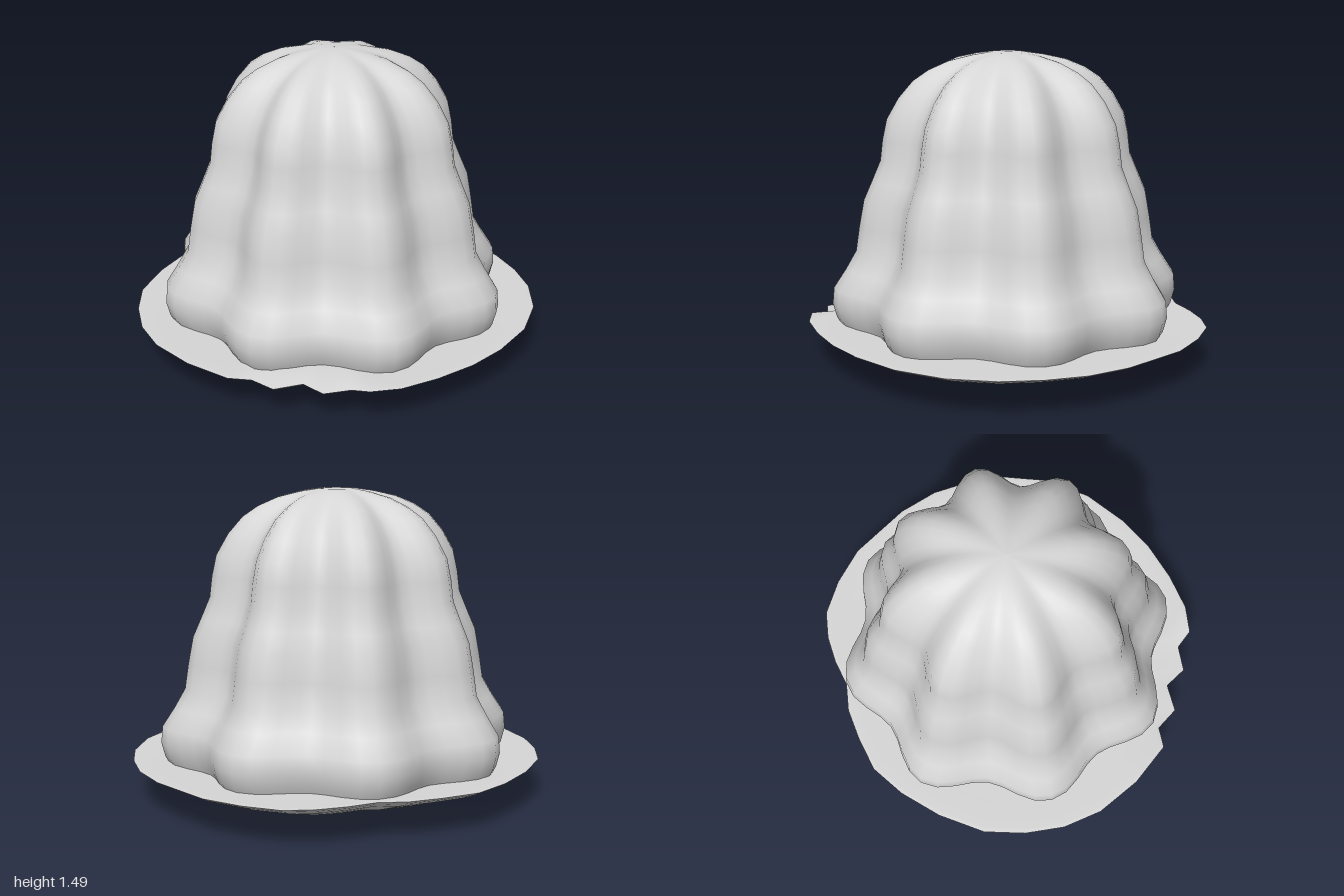
import * as THREE from 'three';

// Skin of closed rings, listed bottom to top along the outside of the surface
function ringSurface(rows, segments, point) {
  const pos = [], index = [];
  rows.forEach((row) => {
    for (let i = 0; i < segments; i++) pos.push(...point(row, i));
  });
  for (let j = 0; j < rows.length - 1; j++) {
    for (let i = 0; i < segments; i++) {
      const k = (i + 1) % segments;
      const a = j * segments + i, b = j * segments + k;
      const c = a + segments, d = b + segments;
      index.push(a, c, d, a, d, b);
    }
  }
  const g = new THREE.BufferGeometry();
  g.setAttribute('position', new THREE.Float32BufferAttribute(pos, 3));
  g.setIndex(index);
  g.computeVertexNormals();
  return g;
}

export function createModel() {
  const group = new THREE.Group();
  const grey = new THREE.MeshStandardMaterial({ color: 0xd6d6d6 });
  grey.name = 'pale grey';
  grey.side = THREE.DoubleSide;

  const add = (name, geometry) => {
    const mesh = new THREE.Mesh(geometry, grey);
    mesh.name = name;
    group.add(mesh);
  };

  // Moulded jelly: height, radius on the lobes, radius in the grooves
  const profile = [
    [0.16, 0.82, 0.71], [0.21, 0.85, 0.735], [0.28, 0.868, 0.755], [0.36, 0.86, 0.75],
    [0.45, 0.80, 0.69], [0.54, 0.748, 0.635], [0.66, 0.73, 0.615], [0.79, 0.705, 0.595],
    [0.88, 0.665, 0.555], [0.98, 0.622, 0.52], [1.08, 0.61, 0.505], [1.18, 0.588, 0.48],
    [1.28, 0.53, 0.43], [1.36, 0.46, 0.365], [1.41, 0.385, 0.30], [1.45, 0.29, 0.23],
    [1.475, 0.18, 0.155], [1.488, 0.09, 0.085], [1.492, 0.001, 0.001],
  ];
  const lobes = 8, segments = 64;
  add('jelly', ringSurface(profile, segments, ([y, ridge, groove], i) => {
    const a = (i / segments) * Math.PI * 2;
    const t = 0.5 + 0.5 * Math.cos(lobes * a);
    const r = groove + (ridge - groove) * t;
    return [r * Math.cos(a), y, r * Math.sin(a) - 0.035];
  }));

  // Plate outline (x, z), with a chipped edge at the front right
  const outline = [
    [1, 0], [0.98, 0.2], [0.9, 0.42], [0.75, 0.62], [0.55, 0.77], [0.37, 0.86], [0.17, 0.92],
    [-0.02, 0.95], [-0.16, 0.93], [-0.22, 0.85], [-0.35, 0.84], [-0.41, 0.73], [-0.55, 0.73],
    [-0.62, 0.62], [-0.73, 0.61], [-0.87, 0.42], [-0.97, 0.2], [-1, 0], [-0.98, -0.2],
    [-0.92, -0.4], [-0.78, -0.6], [-0.62, -0.76], [-0.46, -0.87], [-0.28, -0.91],
    [-0.12, -0.93], [0.02, -0.91], [0.16, -0.94], [0.3, -0.95], [0.44, -0.93], [0.6, -0.83],
    [0.75, -0.69], [0.92, -0.4], [0.985, -0.2],
  ];
  const chipped = (i) => i >= 9 && i <= 13;
  const platePoint = ([scale, y], i) => {
    const [x, z] = outline[i];
    const drop = chipped(i) && scale > 0.9 ? 0.025 : 0;
    return [x * scale, y - drop, z * scale];
  };
  add('plateUnderside', ringSurface(
    [[0.001, 0], [0.4, 0.003], [0.52, 0.014], [0.64, 0.05], [0.78, 0.098], [0.9, 0.14], [0.97, 0.17], [1, 0.187]],
    outline.length, platePoint));
  add('plateTop', ringSurface(
    [[1, 0.187], [0.975, 0.19], [0.85, 0.186], [0.6, 0.18], [0.001, 0.18]],
    outline.length, platePoint));

  return group;
}
